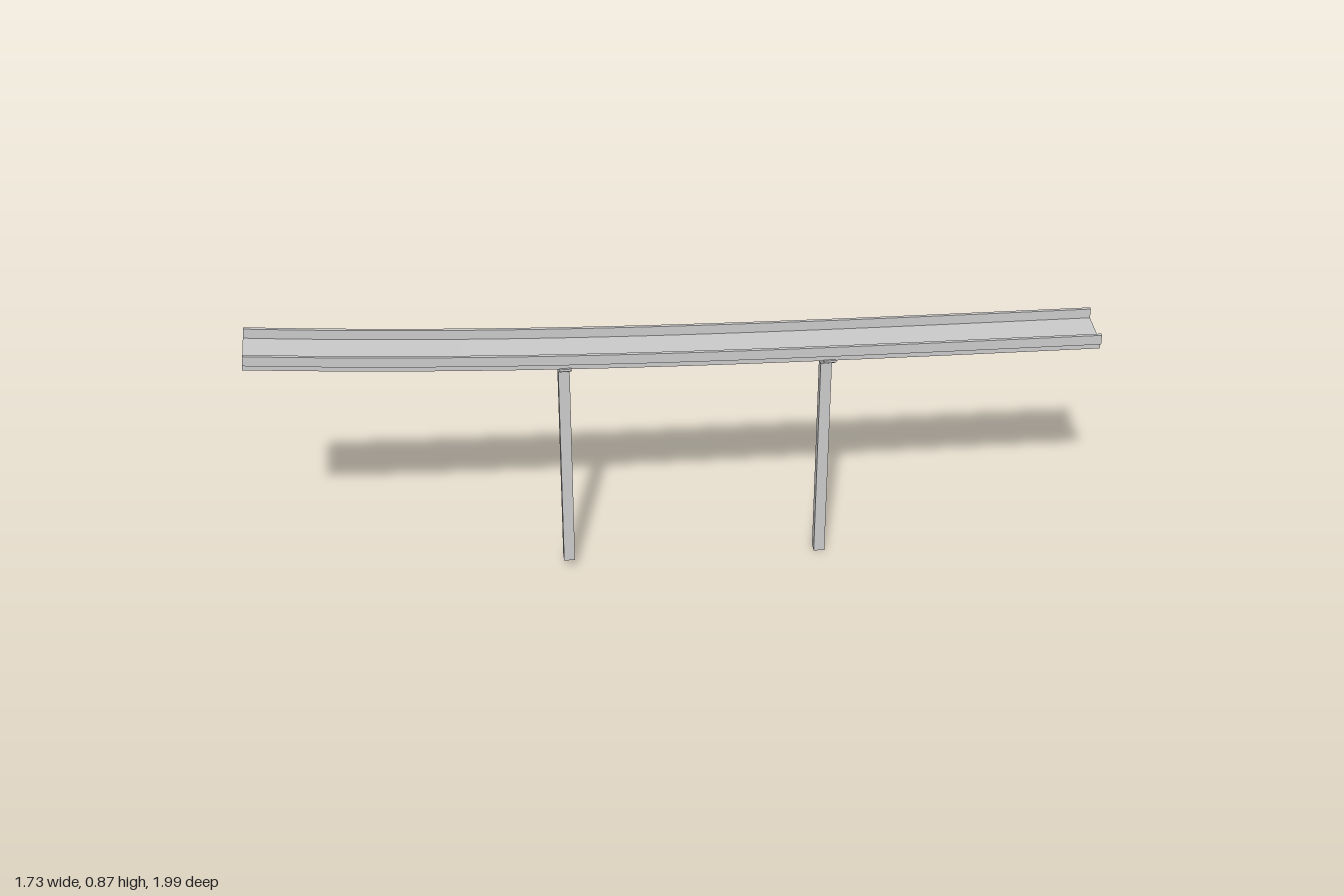
import * as THREE from 'three';

const material = new THREE.MeshStandardMaterial({ color: 0xcccccc, flatShading: true });
const UP = new THREE.Vector3(0, 1, 0);

// Centre line of the track, at deck level
const path = new THREE.CubicBezierCurve3(
  new THREE.Vector3(-0.805, 0.838, 0.94),
  new THREE.Vector3(-0.277, 0.752, 0.304),
  new THREE.Vector3(0.243, 0.728, -0.338),
  new THREE.Vector3(0.807, 0.735, -0.943)
);

// Point, sideways and upward directions along the path
function frameAt(t) {
  const tangent = path.getTangent(t);
  const side = tangent.clone().cross(UP).normalize();
  return { point: path.getPoint(t), side, up: side.clone().cross(tangent).normalize() };
}

// Sweep a rectangle (s0..s1 across, u0..u1 up) along the path
function sweepBar(name, s0, s1, u0, u1, segments = 32) {
  const corners = [[s0, u0], [s1, u0], [s1, u1], [s0, u1]];
  const positions = [];
  const index = [];
  for (let k = 0; k <= segments; k++) {
    const { point, side, up } = frameAt(k / segments);
    for (const [s, u] of corners) {
      const p = point.clone().addScaledVector(side, s).addScaledVector(up, u);
      positions.push(p.x, p.y, p.z);
    }
    if (k === segments) break;
    for (let i = 0; i < 4; i++) {
      const a = k * 4 + i, b = k * 4 + (i + 1) % 4;
      index.push(a, a + 4, b + 4, a, b + 4, b);
    }
  }
  const e = segments * 4;
  index.push(0, 1, 2, 0, 2, 3, e, e + 2, e + 1, e, e + 3, e + 2);
  const indexed = new THREE.BufferGeometry();
  indexed.setAttribute('position', new THREE.Float32BufferAttribute(positions, 3));
  indexed.setIndex(index);
  const geometry = indexed.toNonIndexed();
  geometry.computeVertexNormals();
  const mesh = new THREE.Mesh(geometry, material);
  mesh.name = name;
  return mesh;
}

// Square post with a flared bracket under the track
function makeSupport(name, t, baseY) {
  const { point, side } = frameAt(t);
  const topY = point.y - 0.018;
  const support = new THREE.Group();
  support.name = name;
  support.position.set(point.x, 0, point.z);
  support.rotation.y = Math.atan2(-side.z, side.x);

  const height = topY - 0.01 - baseY;
  const post = new THREE.Mesh(new THREE.BoxGeometry(0.033, height, 0.033), material);
  post.name = 'post';
  post.position.y = baseY + height / 2;

  const outline = new THREE.Shape([
    [-0.017, -0.045], [0.017, -0.045], [0.076, -0.007],
    [0.076, 0], [-0.076, 0], [-0.076, -0.007]
  ].map(([x, y]) => new THREE.Vector2(x, y)));
  const flare = new THREE.ExtrudeGeometry(outline, { depth: 0.036, bevelEnabled: false });
  flare.translate(0, topY, -0.018);
  const bracket = new THREE.Mesh(flare, material);
  bracket.name = 'bracket';

  support.add(post, bracket);
  return support;
}

export function createModel() {
  const model = new THREE.Group();
  model.name = 'elevatedTrack';

  // Deck with a raised wall and an inset beam along each edge
  model.add(sweepBar('deck', -0.071, 0.071, -0.008, 0));
  for (const [label, m] of [['near', 1], ['far', -1]]) {
    const bar = (part, a, b, u0, u1) =>
      sweepBar(label + part, Math.min(m * a, m * b), Math.max(m * a, m * b), u0, u1);
    model.add(bar('Wall', 0.071, 0.081, -0.001, 0.03));
    model.add(bar('Beam', 0.06, 0.07, -0.021, -0.004));
  }

  // Two supports of equal build, following the slope
  model.add(makeSupport('highSupport', 0.366, 0.03));
  model.add(makeSupport('lowSupport', 0.677, 0));
  return model;
}
